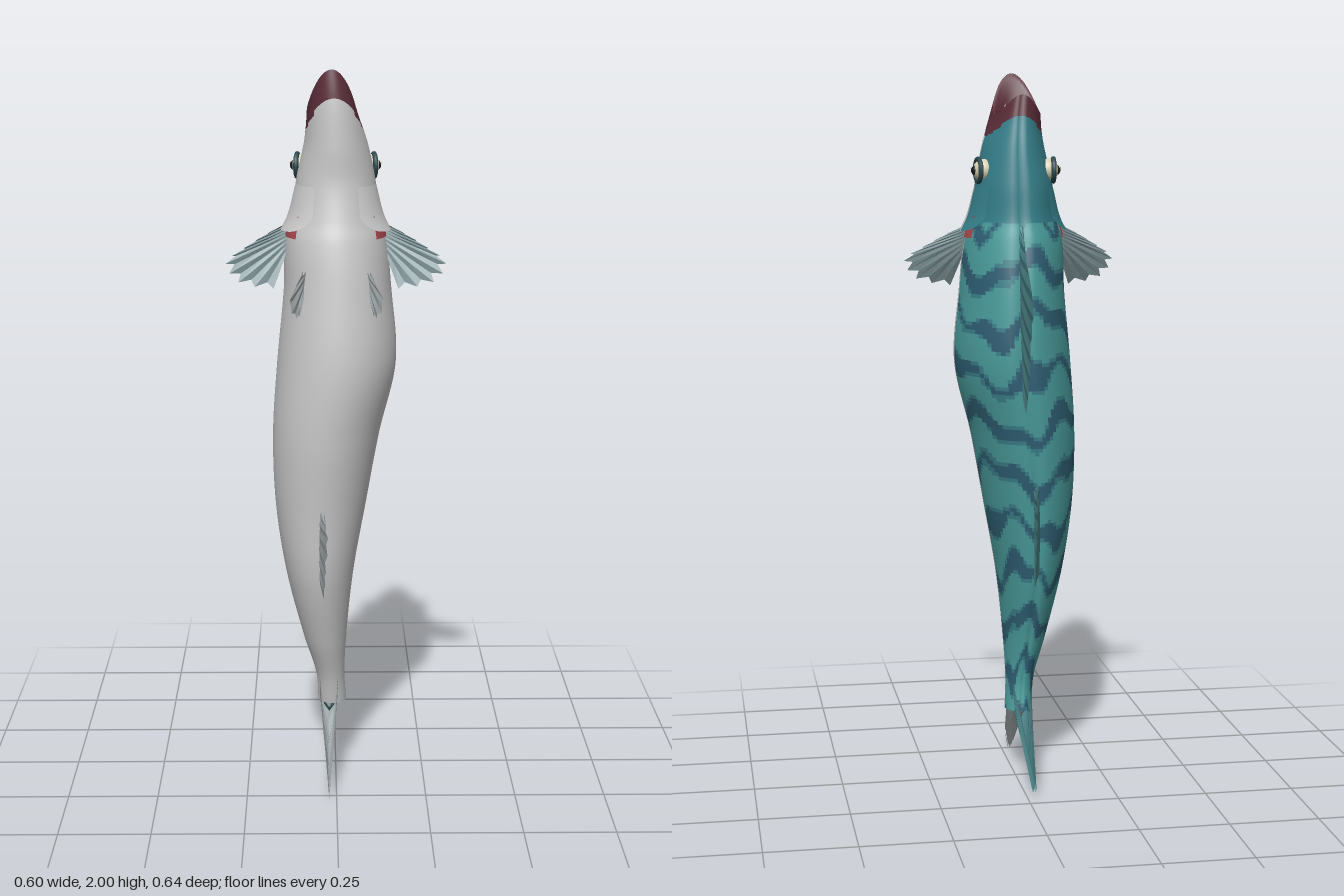
import * as THREE from 'three';

const GREY = 0xcccccc, TEAL = 0x4a9c9c, MID = 0x3b8089, DARK = 0x2f5f74, CROWN = 0x357f8a;
const LIP = 0x5c2e3a, RED = 0xb04a50, FIN_BACK = 0x4b8488, FIN_SIDE = 0x7f9599, FIN_BELLY = 0xa3abac;

// body stations: y, then centre x, half width, belly z, back z
const STATIONS = [
  [0.2, -0.01, 0.04, 0.055, -0.04],
  [0.28, -0.015, 0.04, 0.075, -0.03],
  [0.4, -0.03, 0.06, 0.12, -0.05],
  [0.6, -0.045, 0.095, 0.18, -0.1],
  [0.8, -0.042, 0.127, 0.205, -0.13],
  [1.0, -0.027, 0.148, 0.23, -0.155],
  [1.2, 0.002, 0.164, 0.24, -0.17],
  [1.4, 0.005, 0.148, 0.22, -0.158],
  [1.55, 0, 0.135, 0.195, -0.13],
  [1.6, 0, 0.118, 0.18, -0.115],
  [1.7, 0, 0.108, 0.16, -0.1],
  [1.8, 0, 0.087, 0.16, -0.08],
  [1.87, -0.005, 0.076, 0.155, -0.06],
  [1.93, -0.012, 0.066, 0.14, -0.045],
];
const sections = new THREE.CubicInterpolant(STATIONS.map(s => s[0]), STATIONS.flatMap(s => s.slice(1)), 4);

// point on the skin; angle 0 is the belly, PI the back; scale shrinks the ring for the mouth
function skin(y, a, offset = 0, scale = 1) {
  const [cx, hw, zf, zb] = sections.evaluate(y);
  const c = Math.cos(a), s = Math.sin(a);
  const groove = 1 - 0.05 * Math.exp(-(((a - Math.PI) / 0.13) ** 2));
  const taper = 1 + 0.12 * Math.min(c, 0);
  const jaw = THREE.MathUtils.smoothstep(y, 1.78, 1.93) * (0.03 * c + 0.04 * Math.cos(2 * a));
  return new THREE.Vector3(
    cx + scale * hw * s * taper + s * offset,
    y + jaw,
    (zf + zb) / 2 + scale * (zf - zb) / 2 * c * groove + c * offset);
}

// grid surface split into one mesh per colour, all sharing the same smooth normals
function loft(name, rows, cols, wrap, point, colour, flatShading = false) {
  const group = new THREE.Group();
  group.name = name;
  const w = wrap ? cols : cols + 1, pos = [], all = [], byColour = new Map();
  for (let i = 0; i <= rows; i++)
    for (let j = 0; j < w; j++) pos.push(...point(i / rows, j / cols).toArray());
  for (let i = 0; i < rows; i++)
    for (let j = 0; j < cols; j++) {
      const a = i * w + j, b = i * w + (j + 1) % w, quad = [a, b, b + w, a, b + w, a + w];
      const key = colour((i + 0.5) / rows, (j + 0.5) / cols);
      if (!byColour.has(key)) byColour.set(key, []);
      byColour.get(key).push(...quad);
      all.push(...quad);
    }
  const base = new THREE.BufferGeometry();
  base.setAttribute('position', new THREE.Float32BufferAttribute(pos, 3));
  base.setIndex(all);
  base.computeVertexNormals();
  for (const [color, index] of byColour) {
    const geo = new THREE.BufferGeometry();
    geo.setAttribute('position', base.attributes.position);
    geo.setAttribute('normal', base.attributes.normal);
    geo.setIndex(index);
    const mesh = new THREE.Mesh(geo, new THREE.MeshStandardMaterial({ color, flatShading, side: THREE.DoubleSide }));
    mesh.name = name + 'Patch';
    group.add(mesh);
  }
  return group;
}

// pleated fin with a toothed edge, from a root curve to a tip curve
function fin(name, root, tip, rays, normal, thick, color) {
  const curve = pts => new THREE.CatmullRomCurve3(pts.map(p => new THREE.Vector3(...p)), false, 'centripetal');
  const r = curve(root), t = curve(tip), n = new THREE.Vector3(...normal).normalize();
  const group = new THREE.Group();
  group.name = name;
  for (const side of [-1, 1])
    group.add(loft(name + 'Side', 2, rays * 2, false, (v, u) => {
      const odd = Math.round(u * rays * 2) % 2;
      const reach = v * (odd ? 0.86 : 1);
      const pleat = (odd ? -1 : 1) * 0.004 * v * (1.3 - v);
      return r.getPoint(u).lerp(t.getPoint(u), reach).addScaledVector(n, pleat + side * thick * (1 - v));
    }, () => color, true));
  return group;
}

function solid(name, geometry, color, x, y, z) {
  const mesh = new THREE.Mesh(geometry, new THREE.MeshStandardMaterial({ color }));
  mesh.name = name;
  mesh.position.set(x, y, z);
  return mesh;
}

// pale belly, striped back, plain crown, dark lips
function skinColour(v, u) {
  const y = 0.2 + 1.73 * v, a = u * Math.PI * 2;
  const side = Math.abs(Math.sin(a));
  if (y > 1.875 - 0.03 * side ** 6) return LIP;
  if (Math.cos(a) > 0) return GREY;
  if (y > 1.6) return CROWN;
  const wave = Math.sin(y * 44 + 1.6 * Math.sin(a * 3 + y * 5) + 0.8 * Math.sin(a * 7 - y * 9))
    + 0.35 * Math.sin(y * 17 + a * 4);
  return wave > 0.6 ? DARK : wave > 0.25 ? MID : TEAL;
}

export function createModel() {
  const fish = new THREE.Group();
  fish.name = 'fish';

  // body and head
  fish.add(loft('body', 160, 72, true, (v, u) => skin(0.2 + 1.73 * v, u * Math.PI * 2), skinColour));
  fish.add(loft('tailStump', 1, 24, true, (v, u) => skin(0.2, u * Math.PI * 2, 0, v), () => GREY));

  // mouth lining, tongue and teeth
  const MOUTH = [[1.93, 1], [1.925, 0.86], [1.89, 0.74], [1.85, 0.6], [1.8, 0.42], [1.77, 0.2], [1.76, 0]];
  fish.add(loft('mouth', 6, 36, true, (v, u) => {
    const [y, scale] = MOUTH[Math.round(v * 6)];
    const p = skin(1.93, u * Math.PI * 2, 0, scale);
    p.y += y - 1.93 - (1 - scale) * (p.y - 1.93);
    return p;
  }, v => (v < 0.5 ? LIP : RED)));
  fish.add(solid('tongue', new THREE.SphereGeometry(0.015, 16, 10), 0xc86468, -0.012, 1.785, 0.037));
  for (let i = 0; i < 4; i++) {
    const tooth = solid('tooth', new THREE.ConeGeometry(0.006, 0.028, 8), 0xeee8d8, -0.036 + i * 0.016, 1.905, 0.103);
    tooth.rotation.x = -0.5;
    fish.add(tooth);
  }

  for (const s of [1, -1]) {
    const label = s > 0 ? 'left' : 'right';

    // eye: dark rim, pale iris, pupil and glint
    const eye = new THREE.Group();
    eye.name = label + 'Eye';
    const rim = solid('eyeRim', new THREE.TorusGeometry(0.031, 0.007, 8, 24), 0x2c4a50, 0.016, 0, 0);
    rim.rotation.y = Math.PI / 2;
    const ball = solid('eyeball', new THREE.SphereGeometry(0.031, 24, 16), 0xd8d0b0, 0, 0, 0);
    const pupil = solid('pupil', new THREE.SphereGeometry(0.015, 16, 12), 0x15181a, 0.021, 0, 0);
    const glint = solid('glint', new THREE.SphereGeometry(0.004, 8, 6), 0xffffff, 0.033, 0.007, 0.003);
    eye.add(rim, ball, pupil, glint);
    eye.position.set(s * 0.089, 1.735, -0.005);
    eye.rotation.y = s > 0 ? 0.12 : Math.PI - 0.12;
    fish.add(eye);

    // gill cover flaring over a red gill
    fish.add(loft(label + 'Gill', 4, 20, false,
      (v, u) => skin(1.55 + 0.06 * v, s * (0.9 + 1.0 * u), 0.004 + 0.008 * v), () => RED));
    fish.add(loft(label + 'GillCover', 8, 24, false, (v, u) => {
      const low = 1.568 + 0.04 * (2 * u - 1) ** 4;
      const flare = 0.022 * (1 - v) * Math.sin(Math.PI * (0.1 + 0.8 * u));
      return skin(THREE.MathUtils.lerp(low, 1.69, v), s * (0.55 + 1.65 * u), flare);
    }, (v, u) => (0.55 + 1.65 * u < Math.PI / 2 ? GREY : CROWN)));

    // pectoral and pelvic fins
    fish.add(fin(label + 'PectoralFin',
      [[s * 0.125, 1.585, 0.035], [s * 0.13, 1.55, 0.045], [s * 0.135, 1.51, 0.055]],
      [[s * 0.18, 1.56, 0.06], [s * 0.25, 1.52, 0.085], [s * 0.3, 1.48, 0.108], [s * 0.265, 1.43, 0.11], [s * 0.17, 1.41, 0.1]],
      8, [-0.35 * s, 0.25, 1], 0.01, FIN_SIDE));
    fish.add(fin(label + 'PelvicFin',
      [[s * 0.085, 1.47, 0.175], [s * 0.09, 1.43, 0.175], [s * 0.09, 1.4, 0.18]],
      [[s * 0.1, 1.45, 0.205], [s * 0.127, 1.39, 0.242], [s * 0.11, 1.35, 0.22], [s * 0.1, 1.35, 0.195]],
      4, [1, 0, -s * 0.8], 0.005, FIN_BELLY));
  }

  // fins along the middle line
  const X = [1, 0, 0];
  fish.add(fin('frontDorsalFin',
    [[0.003, 1.6, -0.1], [0.005, 1.4, -0.14], [0.002, 1.15, -0.155]],
    [[0.005, 1.57, -0.13], [0.005, 1.5, -0.21], [0.006, 1.38, -0.325], [0.005, 1.28, -0.285], [0.003, 1.18, -0.25], [0, 1.08, -0.18]],
    9, X, 0.008, FIN_BACK));
  fish.add(fin('rearDorsalFin',
    [[-0.036, 0.88, -0.125], [-0.042, 0.76, -0.115], [-0.045, 0.62, -0.095]],
    [[-0.03, 0.87, -0.155], [-0.022, 0.81, -0.235], [-0.025, 0.7, -0.2], [-0.035, 0.58, -0.125]],
    6, X, 0.008, FIN_BACK));
  fish.add(fin('analFin',
    [[-0.04, 0.82, 0.19], [-0.043, 0.72, 0.18], [-0.045, 0.62, 0.165]],
    [[-0.035, 0.8, 0.23], [-0.025, 0.76, 0.29], [-0.03, 0.65, 0.25], [-0.035, 0.555, 0.2]],
    6, X, 0.008, FIN_BELLY));

  // forked tail
  fish.add(fin('tailBellyLobe',
    [[-0.02, 0.29, 0.07], [-0.02, 0.24, 0.05], [-0.02, 0.2, 0.02]],
    [[-0.022, 0.03, 0.315], [-0.022, 0.0, 0.27], [-0.022, 0.02, 0.2], [-0.02, 0.17, 0.04]],
    8, X, 0.026, FIN_BELLY));
  fish.add(fin('tailBackLobe',
    [[-0.015, 0.28, -0.025], [-0.015, 0.24, -0.015], [-0.015, 0.2, 0.02]],
    [[-0.02, 0.03, -0.24], [-0.02, 0.005, -0.19], [-0.02, 0.03, -0.14], [-0.02, 0.17, 0.01]],
    8, X, 0.026, FIN_BACK));
  return fish;
}
